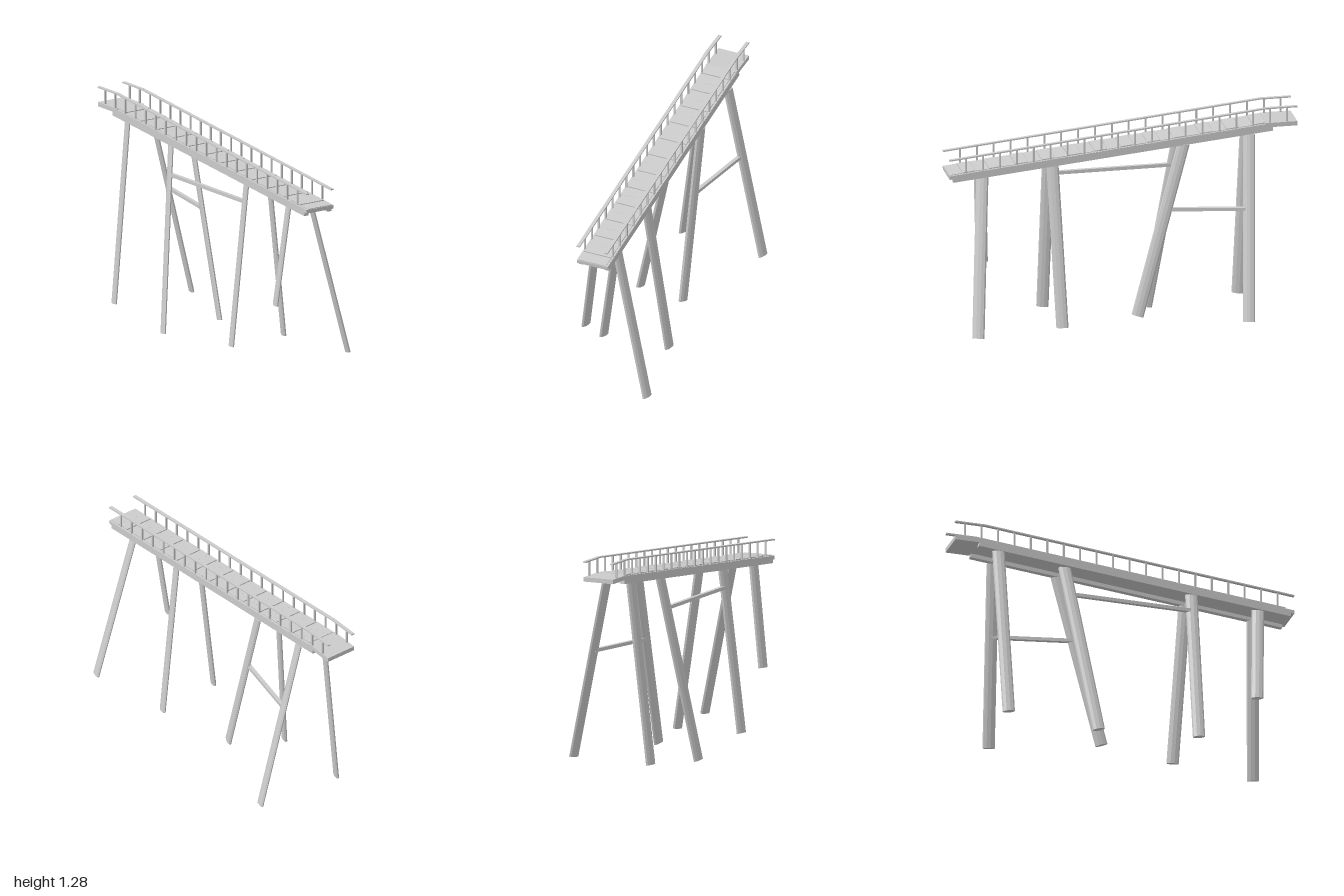
import * as THREE from 'three';

const V = (x, y, z) => new THREE.Vector3(x, y, z);

export function createModel() {
  const model = new THREE.Group();
  const mat = new THREE.MeshStandardMaterial({ color: 0xcccccc });
  const flat = new THREE.MeshStandardMaterial({ color: 0xcccccc, flatShading: true });

  // Square-cut beam between two points
  function beam(parent, name, a, b, width, height) {
    const mesh = new THREE.Mesh(new THREE.BoxGeometry(width, height, a.distanceTo(b)), mat);
    mesh.position.copy(a).lerp(b, 0.5);
    mesh.lookAt(b);
    mesh.name = name;
    parent.add(mesh);
  }

  // Flattened pile, wider along z than along x
  function leg(name, bottom, top) {
    const dir = top.clone().sub(bottom);
    const mesh = new THREE.Mesh(new THREE.CylinderGeometry(1, 1, 1, 10), flat);
    mesh.scale.set(0.014, dir.length(), 0.036);
    mesh.position.copy(bottom).lerp(top, 0.5);
    mesh.quaternion.setFromUnitVectors(V(0, 1, 0), dir.normalize());
    mesh.name = name;
    model.add(mesh);
  }

  // Deck frame: z runs along the walkway, level at the back then sloping down
  const walkway = new THREE.Group();
  walkway.name = 'walkway';
  walkway.position.x = -0.075;
  walkway.rotation.y = 0.353;
  model.add(walkway);
  const kink = -0.845, end = 1.03;
  const deckY = z => 1.193 - 0.099 * Math.max(0, z - kink);
  const at = (x, z, dy) => V(x, deckY(z) + dy, z);

  // Level landing and sloping deck
  beam(walkway, 'landing', at(0, -end, -0.013), at(0, kink, -0.013), 0.193, 0.026);
  beam(walkway, 'deck', at(0, kink, -0.016), at(0, end, -0.016), 0.193, 0.022);

  // Planks, every other one slightly proud
  const planks = 24, step = (end - kink) / planks;
  for (let i = 0; i < planks; i++) {
    const z = kink + i * step;
    const dy = i % 2 ? -0.005 : -0.002;
    beam(walkway, 'plank', at(0, z + 0.002, dy), at(0, z + step - 0.002, dy), 0.17, 0.008);
  }

  for (const side of [-1, 1]) {
    // Stringer under each edge
    beam(walkway, 'stringer', at(side * 0.082, -0.885, -0.027), at(side * 0.082, 1.01, -0.027), 0.03, 0.042);

    // Handrail and posts
    const x = side * 0.088;
    beam(walkway, 'handrail', at(x, -end, 0.089), at(x, kink, 0.089), 0.02, 0.008);
    beam(walkway, 'handrail', at(x, kink, 0.089), at(x, end, 0.089), 0.02, 0.008);
    for (let i = 0; i < 20; i++) {
      const z = -0.97 + i * 0.1;
      const post = new THREE.Mesh(new THREE.BoxGeometry(0.01, 0.095, 0.01), mat);
      post.position.copy(at(x, z, 0.042));
      post.name = 'railPost';
      walkway.add(post);
    }
  }

  // Leaning legs, in pairs from front to back
  leg('frontLeftLeg', V(0.51, 0.065, 0.745), V(0.28, 0.985, 0.755));
  leg('frontRightLeg', V(0.063, 0.385, 0.79), V(0.145, 1.0, 0.79));
  leg('frontMiddleLeftLeg', V(0.252, 0.065, 0.29), V(0.143, 1.03, 0.365));
  leg('frontMiddleRightLeg', V(-0.11, 0.065, 0.46), V(-0.004, 1.03, 0.41));
  leg('backMiddleLeftLeg', V(-0.02, 0.065, -0.11), V(-0.12, 1.1, -0.365));
  leg('backMiddleRightLeg', V(-0.36, 0.008, -0.11), V(-0.255, 1.1, -0.315));
  leg('backLeftLeg', V(-0.005, 0.065, -0.765), V(-0.25, 1.13, -0.73));
  leg('backRightLeg', V(-0.51, 0.065, -0.625), V(-0.41, 1.14, -0.69));

  // Level braces between neighbouring pairs
  beam(model, 'rightBrace', V(-0.275, 0.915, -0.28), V(-0.018, 0.915, 0.41), 0.022, 0.02);
  beam(model, 'leftBrace', V(-0.156, 0.705, -0.745), V(-0.085, 0.705, -0.27), 0.022, 0.02);

  return model;
}
